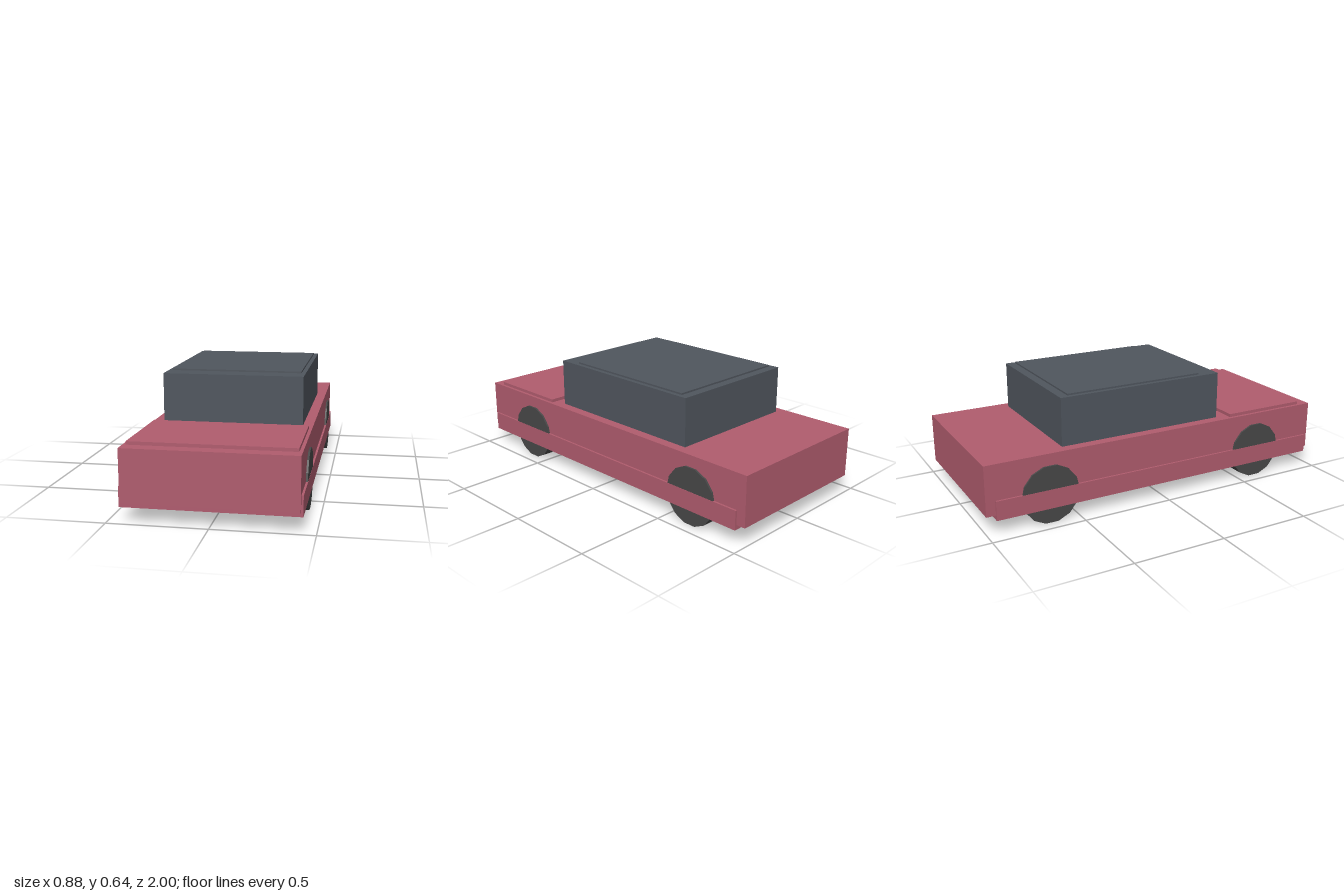
import * as THREE from 'three';

const paint = new THREE.MeshStandardMaterial({ color: 0xb05c6e, flatShading: true });
const dark = new THREE.MeshStandardMaterial({ color: 0x50565e, flatShading: true });
const rubber = new THREE.MeshStandardMaterial({ color: 0x484848, flatShading: true });

// Box centred on x, given by its half width and its y and z ranges
function slab(name, halfWidth, [y0, y1], [z0, z1], material) {
  const mesh = new THREE.Mesh(new THREE.BoxGeometry(halfWidth * 2, y1 - y0, z1 - z0), material);
  mesh.position.set(0, (y0 + y1) / 2, (z0 + z1) / 2);
  mesh.name = name;
  return mesh;
}

export function createModel() {
  const car = new THREE.Group();
  car.name = 'car';

  // Bodywork and cabin
  car.add(
    slab('body', 0.427, [0.102, 0.37], [-1, 1], paint),
    slab('lowerSill', 0.438, [0.077, 0.18], [-0.95, 0.98], paint),
    slab('hood', 0.41, [0.36, 0.387], [0.447, 0.93], paint),
    slab('cabin', 0.373, [0.36, 0.627], [-0.565, 0.378], dark),
    slab('roofPanel', 0.35, [0.62, 0.636], [-0.518, 0.265], dark)
  );

  // Four wheels resting on a flat facet
  const sides = 14, radius = 0.157, width = 0.118;
  const wheelGeometry = new THREE.CylinderGeometry(radius, radius, width, sides).rotateZ(Math.PI / 2);
  for (const [end, z] of [['front', 0.613], ['rear', -0.658]]) {
    for (const [side, s] of [['Left', 1], ['Right', -1]]) {
      const wheel = new THREE.Mesh(wheelGeometry, rubber);
      wheel.position.set(s * (0.437 - width / 2), radius * Math.cos(Math.PI / sides), z);
      wheel.name = `${end}${side}Wheel`;
      car.add(wheel);
    }
  }
  return car;
}
